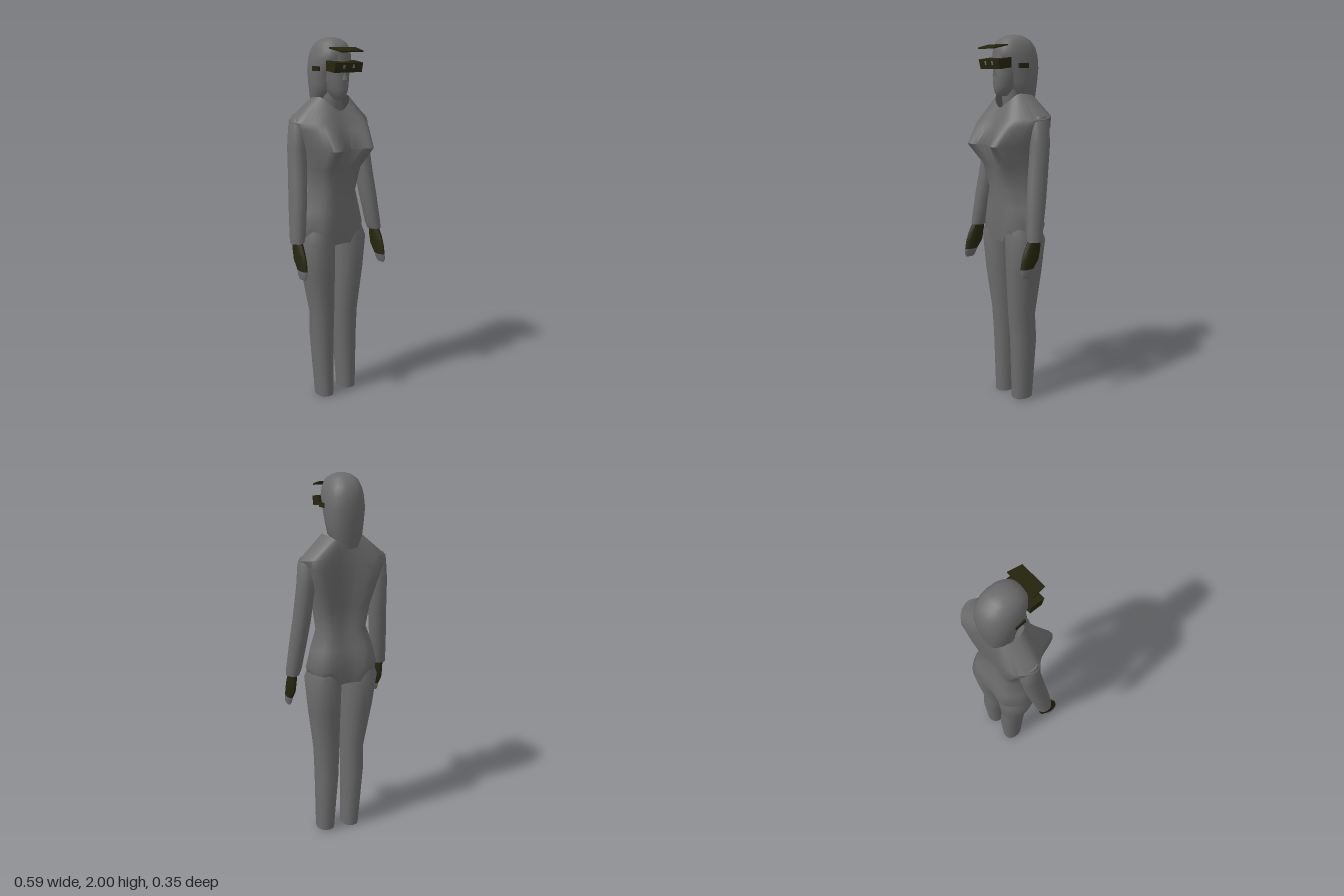
import * as THREE from 'three';
import { toCreasedNormals } from 'three/addons/utils/BufferGeometryUtils.js';

const V = (x, y, z) => new THREE.Vector3(x, y, z);

// Skin a list of equal-length rings; winding is fixed by the signed volume.
function loft(rings, { capStart = true, capEnd = true, crease = 0.75 } = {}) {
  const n = rings[0].length, pts = rings.flat(), idx = [];
  for (let r = 0; r < rings.length - 1; r++) {
    for (let i = 0; i < n; i++) {
      const a = r * n + i, b = r * n + (i + 1) % n;
      idx.push(a, b, b + n, a, b + n, a + n);
    }
  }
  const cap = (ring, start, flip) => {
    const c = ring.reduce((s, p) => s.add(p), V(0, 0, 0)).divideScalar(n);
    const k = pts.push(c) - 1;
    for (let i = 0; i < n; i++) {
      const a = start + i, b = start + (i + 1) % n;
      idx.push(...(flip ? [k, b, a] : [k, a, b]));
    }
  };
  if (capStart) cap(rings[0], 0, true);
  if (capEnd) cap(rings[rings.length - 1], (rings.length - 1) * n, false);
  const mid = pts.reduce((s, p) => s.add(p), V(0, 0, 0)).divideScalar(pts.length);
  let vol = 0;
  for (let i = 0; i < idx.length; i += 3) {
    const [a, b, c] = [0, 1, 2].map((j) => pts[idx[i + j]].clone().sub(mid));
    vol += a.dot(b.cross(c));
  }
  if (vol < 0) idx.reverse();
  const g = new THREE.BufferGeometry().setFromPoints(pts);
  g.setIndex(idx);
  return toCreasedNormals(g, crease);
}

// Oval ring; tilt raises the rim with z, power < 1 squares it off.
function oval(x, y, z, rx, rz, tilt = 0, power = 1, n = 18) {
  const f = (t) => Math.sign(t) * Math.abs(t) ** power;
  return Array.from({ length: n }, (_, i) => {
    const a = i / n * Math.PI * 2;
    const dz = f(Math.cos(a)) * rz;
    return V(x + f(Math.sin(a)) * rx, y + tilt * dz, z + dz);
  });
}

export function createModel() {
  const model = new THREE.Group();
  const grey = new THREE.MeshStandardMaterial({ color: 0x6b6b6b, side: THREE.DoubleSide });
  grey.name = 'suit grey';
  const olive = new THREE.MeshStandardMaterial({ color: 0x25250d });
  olive.name = 'dark olive';
  const add = (name, geometry, material = grey) => {
    const m = new THREE.Mesh(geometry, material);
    m.name = name;
    model.add(m);
    return m;
  };

  // Tunic: [yFront, ySide, yBack, frontZ, bustX, bustZ, sideX, sideZ, backX, backZ, spineZ]
  const tunic = [
    [0.95, 0.95, 0.95, 0.06, 0.10, 0.065, 0.19, -0.045, 0.12, -0.15, -0.14],
    [1.0, 1.0, 1.0, 0.068, 0.11, 0.065, 0.205, -0.045, 0.13, -0.16, -0.155],
    [1.1, 1.1, 1.1, 0.068, 0.10, 0.06, 0.178, -0.045, 0.12, -0.14, -0.14],
    [1.2, 1.2, 1.2, 0.068, 0.08, 0.058, 0.143, -0.045, 0.095, -0.11, -0.108],
    [1.33, 1.33, 1.33, 0.08, 0.09, 0.09, 0.16, -0.045, 0.12, -0.125, -0.115],
    [1.44, 1.44, 1.44, 0.13, 0.115, 0.174, 0.185, -0.035, 0.155, -0.14, -0.125],
    [1.53, 1.54, 1.54, 0.093, 0.12, 0.117, 0.225, -0.05, 0.183, -0.15, -0.13],
    [1.57, 1.575, 1.59, 0.075, 0.12, 0.085, 0.243, -0.055, 0.183, -0.15, -0.13],
    [1.63, 1.70, 1.69, 0.045, 0.06, 0.03, 0.10, -0.05, 0.07, -0.12, -0.125],
  ];
  const tunicRings = tunic.map(([yf, ys, yb, fz, bx, bz, sx, sz, kx, kz, cz], row) => {
    const half = [
      V(bx, yf + (ys - yf) * 0.5, bz),
      V((bx + sx) / 2 + 0.01, ys, bz * 0.55 + sz * 0.45),
      V(sx, ys, sz),
      V(kx, yb, kz),
    ];
    const mirrored = half.map((p) => V(-p.x, p.y, p.z)).reverse();
    const curve = new THREE.CatmullRomCurve3([V(0, yf, fz), ...half, V(0, yb, cz), ...mirrored], true);
    return Array.from({ length: 40 }, (_, i) => {
      const p = curve.getPoint(i / 40);
      // Ragged hem, dropping in the middle
      if (row === 0) p.y = Math.abs(p.x) < 0.075 ? 0.915 : 0.962 + 0.014 * Math.cos(i * Math.PI / 2);
      return p;
    });
  });
  add('tunic', loft(tunicRings, { capStart: false, capEnd: false, crease: 0.9 }));

  // Legs: [y, inner x, outer x, front z, back z]
  const legs = {
    leftLeg: [[1.02, 0.01, 0.17, 0.05, -0.13], [0.93, 0.012, 0.204, 0.068, -0.155],
      [0.75, 0.016, 0.186, 0.06, -0.14], [0.5, 0.018, 0.157, 0.038, -0.112],
      [0.35, 0.028, 0.155, 0.03, -0.122], [0.01, 0.048, 0.147, 0.025, -0.095]],
    rightLeg: [[1.02, -0.005, -0.17, 0.05, -0.13], [0.93, -0.006, -0.202, 0.068, -0.155],
      [0.75, -0.006, -0.178, 0.06, -0.14], [0.5, -0.006, -0.133, 0.038, -0.112],
      [0.35, -0.006, -0.127, 0.03, -0.122], [0, -0.01, -0.106, 0.025, -0.095]],
  };
  for (const [name, rows] of Object.entries(legs)) {
    add(name, loft(rows.map(([y, a, b, f, k]) =>
      oval((a + b) / 2, y, (f + k) / 2, Math.abs(b - a) / 2, (f - k) / 2, 0, 0.9))));
  }

  // Arms and hands: [x, y, z, half width, half depth]
  const sleeve = [[0.215, 1.592, -0.06, 0.018, 0.03], [0.207, 1.56, -0.06, 0.04, 0.05],
    [0.208, 1.45, -0.06, 0.048, 0.055], [0.222, 1.27, -0.035, 0.047, 0.056],
    [0.235, 1.16, -0.018, 0.046, 0.054], [0.255, 0.99, 0.008, 0.042, 0.045],
    [0.262, 0.955, 0.012, 0.035, 0.042]];
  const palm = [[0.26, 0.97, 0.01, 0.02, 0.037], [0.262, 0.91, 0.028, 0.022, 0.05],
    [0.263, 0.86, 0.042, 0.021, 0.054], [0.264, 0.815, 0.062, 0.018, 0.041]];
  const fingers = [[0.264, 0.815, 0.062, 0.018, 0.041], [0.267, 0.785, 0.068, 0.014, 0.036],
    [0.268, 0.768, 0.07, 0.008, 0.026]];
  for (const [side, s] of [['left', 1], ['right', -1]]) {
    const limb = (rows) => loft(rows.map(([x, y, z, rx, rz]) => oval(s * x, y, z, rx, rz, 0, 1, 14)));
    add(side + 'Sleeve', limb(sleeve));
    add(side + 'Glove', limb(palm), olive);
    add(side + 'Fingertips', limb(fingers));
  }

  // Neck and face
  add('neck', loft([oval(0, 1.58, -0.05, 0.06, 0.06), oval(0, 1.76, -0.03, 0.052, 0.055)]));
  const face = [[1.69, 0.025, 0.022, 0.035], [1.705, 0.02, 0.036, 0.052], [1.74, 0, 0.055, 0.078],
    [1.80, -0.01, 0.068, 0.088], [1.86, -0.02, 0.078, 0.095], [1.92, -0.02, 0.078, 0.09]];
  add('face', loft(face.map(([y, z, rx, rz]) => oval(0, y, z, rx, rz))));
  const nose = add('nose', new THREE.ConeGeometry(0.016, 0.05, 4));
  nose.position.set(0, 1.815, 0.078);

  // Hood: [y, front z, back z, half width, tilt]
  const hood = [[1.665, -0.025, -0.15, 0.068, 0.5], [1.70, -0.005, -0.158, 0.088, 0.25],
    [1.76, 0.015, -0.17, 0.095, 0], [1.83, 0.035, -0.176, 0.103, 0], [1.89, 0.066, -0.174, 0.1, 0],
    [1.935, 0.066, -0.162, 0.09, 0], [1.97, 0.045, -0.135, 0.074, 0],
    [1.99, 0.01, -0.1, 0.048, 0], [1.999, -0.02, -0.07, 0.02, 0]];
  add('hood', loft(hood.map(([y, f, b, rx, tilt]) =>
    oval(0, y, (f + b) / 2, rx, (f - b) / 2, tilt, 0.86, 24)), { capStart: false, crease: 1 }));

  // Goggles: side profile drawn in (z, y), extruded across the face
  const profile = new THREE.Shape([[0.035, 1.835], [0.105, 1.827], [0.117, 1.875], [0.035, 1.886]]
    .map(([z, y]) => new THREE.Vector2(z, y)));
  const goggles = new THREE.ExtrudeGeometry(profile, { depth: 0.176, bevelEnabled: false });
  goggles.rotateY(-Math.PI / 2).translate(0.088, 0, 0);
  add('goggles', goggles, olive);

  // Small lens glints and temple plates
  for (const [side, s] of [['left', 1], ['right', -1]]) {
    const glint = add(side + 'Lens', new THREE.BoxGeometry(0.012, 0.018, 0.004));
    glint.position.set(s * 0.03, 1.857, 0.113);
    glint.rotation.x = 0.24;
    const plate = add(side + 'TemplePlate', new THREE.BoxGeometry(0.009, 0.024, 0.058), olive);
    plate.position.set(s * 0.101, 1.844, -0.034);
  }

  // Brim: thin tapering plate above the goggles
  const brimRow = (z, y, l, r) => [V(l, y, z), V(r, y, z), V(r, y + 0.007, z), V(l, y + 0.007, z)];
  add('brim', loft([brimRow(0.055, 1.944, -0.082, 0.084), brimRow(0.135, 1.927, -0.068, 0.074)],
    { crease: 0.3 }), olive);

  return model;
}
